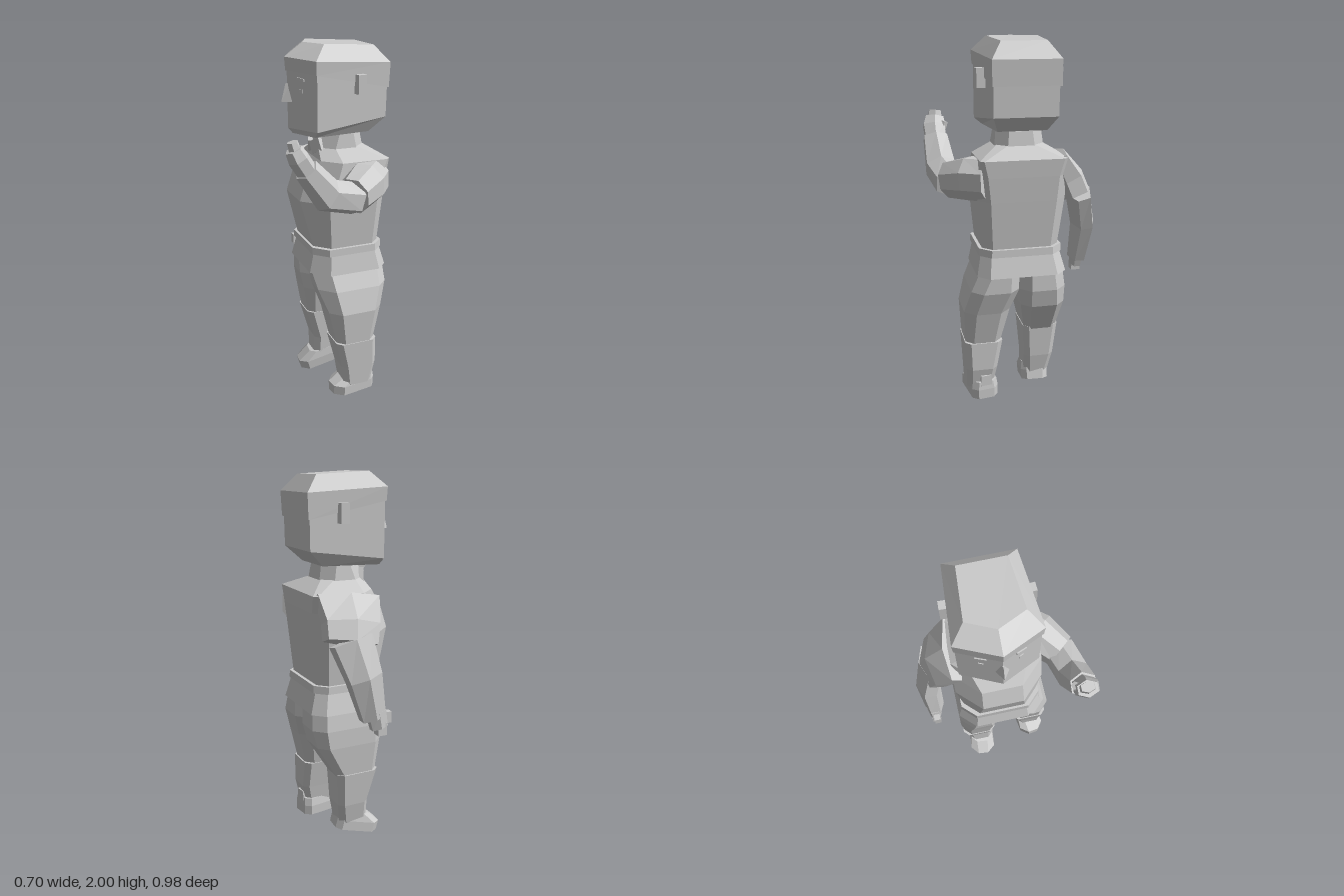
import * as THREE from 'three';

const grey = new THREE.MeshStandardMaterial({ color: 0xcccccc, flatShading: true });

// Skin closed rings (listed bottom to top, each counterclockwise from above) and cap both ends.
function loft(name, rings) {
  const pos = [];
  const tri = (...p) => p.forEach(v => pos.push(...v));
  const n = rings[0].length;
  for (let r = 0; r < rings.length - 1; r++) {
    for (let i = 0; i < n; i++) {
      const j = (i + 1) % n, a = rings[r], b = rings[r + 1];
      tri(a[i], a[j], b[j]);
      tri(a[i], b[j], b[i]);
    }
  }
  const lo = rings[0], hi = rings[rings.length - 1];
  for (let i = 1; i < n - 1; i++) {
    tri(lo[0], lo[i + 1], lo[i]);
    tri(hi[0], hi[i], hi[i + 1]);
  }
  const g = new THREE.BufferGeometry();
  g.setAttribute('position', new THREE.Float32BufferAttribute(pos, 3));
  g.computeVertexNormals();
  const m = new THREE.Mesh(g, grey);
  m.name = name;
  return m;
}

// Chamfered rectangle at height y; cf and cb cut the front and back corners.
function oct(y, x0, x1, z0, z1, cf = 0.03, cb = 0.03) {
  return [[x1 - cf, y, z1], [x1, y, z1 - cf], [x1, y, z0 + cb], [x1 - cb, y, z0],
    [x0 + cb, y, z0], [x0, y, z0 + cb], [x0, y, z1 - cf], [x0 + cf, y, z1]];
}

// Limb along points [x, y, z, ru, rv]; rv is the radius along the hint direction.
function limb(name, pts, hint, n = 6) {
  const h = new THREE.Vector3(...hint);
  const c = pts.map(p => new THREE.Vector3(p[0], p[1], p[2]));
  const rings = pts.map((p, k) => {
    const t = c[Math.min(k + 1, c.length - 1)].clone().sub(c[Math.max(k - 1, 0)]).normalize();
    const v = h.clone().addScaledVector(t, -h.dot(t)).normalize();
    const u = t.clone().cross(v);
    return Array.from({ length: n }, (_, i) => {
      const a = (i + 0.5) / n * Math.PI * 2, f = 1 / Math.cos(Math.PI / n);
      return c[k].clone().addScaledVector(u, Math.sin(a) * p[3] * f)
        .addScaledVector(v, Math.cos(a) * p[4] * f).toArray();
    });
  });
  return loft(name, rings);
}

function box(name, w, h, d, x, y, z, ry = 0, rz = 0) {
  const m = new THREE.Mesh(new THREE.BoxGeometry(w, h, d), grey);
  m.position.set(x, y, z);
  m.rotation.set(0, ry, rz);
  m.name = name;
  return m;
}

// Head plan: pentagon with a ridge at the front. Heights for front, front corners, back.
function headRing(k, yf, ys, yb, dz = 0) {
  const p = [[0, yf, 0.26], [0.205, ys, 0.165], [0.175, yb, -0.25], [-0.175, yb, -0.25], [-0.205, ys, 0.165]];
  return p.map(([x, y, z]) => [x * k, y, z * k + dz]);
}

function makeHead() {
  const head = new THREE.Group();
  head.name = 'head';
  head.add(loft('face', [headRing(0.75, 1.53, 1.53, 1.535, 0.03), headRing(0.96, 1.56, 1.565, 1.615),
    headRing(0.97, 1.87, 1.87, 1.82)]));
  head.add(loft('cap', [headRing(1.0, 1.86, 1.855, 1.77), headRing(1.02, 1.93, 1.925, 1.9),
    headRing(0.68, 2.0, 2.0, 1.985, -0.012)]));
  // nose: tapering wedge on the front ridge
  head.add(loft('nose', [
    [[0, 1.7, 0.285], [0.04, 1.7, 0.225], [-0.04, 1.7, 0.225]],
    [[0, 1.795, 0.26], [0.012, 1.795, 0.235], [-0.012, 1.795, 0.235]]]));
  for (const s of [-1, 1]) {
    head.add(box('ear', 0.05, 0.1, 0.045, s * 0.203, 1.8, -0.075, s * 0.05));
    head.add(box('eye', 0.025, 0.02, 0.012, s * 0.092, 1.765, 0.207, s * 0.43));
    head.add(box('eyebrow', 0.055, 0.013, 0.014, s * 0.092, 1.825, 0.208, s * 0.43, -s * 0.12));
  }
  head.position.set(-0.06, 0, -0.07);
  return head;
}

// Leg from thigh sections [y, x0, x1, z0, z1, cf, cb], boot sections and a pitched shoe.
function makeLeg(side, { thigh, boot, at, pitch, yaw }) {
  const leg = new THREE.Group();
  leg.name = side + 'Leg';
  leg.add(loft('thigh', thigh.map(r => oct(...r))));
  leg.add(loft('boot', boot.map(r => oct(...r))));
  const shoe = new THREE.Group();
  shoe.name = 'foot';
  shoe.add(loft('shoe', [oct(0, -0.075, 0.075, -0.12, 0.14, 0.045),
    oct(0.055, -0.077, 0.077, -0.12, 0.14, 0.045),
    oct(0.1, -0.07, 0.07, -0.115, 0.06, 0.035)]));
  shoe.add(box('heelTab', 0.06, 0.06, 0.025, 0, 0.11, -0.108));
  shoe.position.set(...at);
  shoe.rotation.set(pitch, yaw, 0);
  leg.add(shoe);
  return leg;
}

export function createModel() {
  const body = new THREE.Group();
  body.name = 'figure';
  body.add(makeHead());

  // Jacket, belt and hem
  body.add(loft('jacket', [
    oct(0.9, -0.255, 0.155, -0.275, 0.09, 0.075, 0.05),
    oct(1.18, -0.29, 0.18, -0.3, 0.16, 0.125, 0.06),
    oct(1.31, -0.29, 0.185, -0.31, 0.12, 0.13, 0.05),
    oct(1.4, -0.285, 0.175, -0.315, 0.05, 0.09, 0.02),
    oct(1.46, -0.18, 0.06, -0.21, 0.03, 0.07, 0.05)]));
  body.add(loft('hem', [
    oct(0.77, -0.298, 0.188, -0.32, 0.122, 0.09, 0.06),
    oct(0.89, -0.265, 0.165, -0.285, 0.095, 0.075, 0.05)]));
  body.add(loft('belt', [
    oct(0.88, -0.276, 0.176, -0.298, 0.108, 0.075, 0.06),
    oct(0.92, -0.274, 0.174, -0.295, 0.108, 0.075, 0.06)]));
  body.add(loft('neck', [
    oct(1.4, -0.14, 0.02, -0.15, 0.01),
    oct(1.56, -0.14, 0.02, -0.15, 0.01)]));
  body.add(loft('collar', [
    oct(1.44, -0.19, 0.075, -0.22, 0.045, 0.08, 0.06),
    oct(1.53, -0.18, 0.065, -0.205, 0.015, 0.08, 0.06)]));
  for (const s of [-1, 1]) body.add(box('collarFlap', 0.075, 0.07, 0.025, -0.06 + s * 0.045, 1.46, 0.035, s * 0.45, s * 0.4));

  // Right arm hangs at the side
  const rightArm = new THREE.Group();
  rightArm.name = 'rightArm';
  rightArm.add(limb('upperArm', [[-0.37, 1.17, -0.16, 0.075, 0.135], [-0.335, 1.26, -0.14, 0.075, 0.145],
    [-0.262, 1.385, -0.125, 0.05, 0.17]], [0, 0, 1]));
  rightArm.add(limb('forearm', [[-0.425, 0.78, -0.06, 0.047, 0.065], [-0.432, 1.0, -0.115, 0.058, 0.09],
    [-0.385, 1.19, -0.165, 0.06, 0.11]], [0, 0, 1]));
  rightArm.add(limb('hand', [[-0.43, 0.72, -0.025, 0.03, 0.045], [-0.43, 0.81, -0.045, 0.038, 0.05]], [0, 0, 1]));
  rightArm.add(box('fingers', 0.05, 0.07, 0.05, -0.43, 0.715, -0.015));
  rightArm.add(box('thumb', 0.035, 0.06, 0.035, -0.425, 0.77, 0.025));
  body.add(rightArm);

  // Left arm bends forward with the hand raised
  const leftArm = new THREE.Group();
  leftArm.name = 'leftArm';
  leftArm.add(limb('upperArm', [[0.11, 1.29, -0.23, 0.1, 0.11], [0.2, 1.285, -0.155, 0.105, 0.11],
    [0.295, 1.258, -0.045, 0.085, 0.094]], [0, 1, 0], 8));
  leftArm.add(limb('forearm', [[0.29, 1.245, -0.06, 0.075, 0.08], [0.325, 1.292, 0.11, 0.078, 0.077],
    [0.335, 1.44, 0.225, 0.056, 0.064]], [1, 0, 0]));
  leftArm.add(limb('hand', [[0.335, 1.43, 0.22, 0.047, 0.054], [0.335, 1.5, 0.265, 0.047, 0.06],
    [0.33, 1.545, 0.287, 0.038, 0.049]], [1, 0, 0]));
  leftArm.add(limb('fingers', [[0.33, 1.53, 0.277, 0.027, 0.04], [0.325, 1.582, 0.29, 0.024, 0.032]], [1, 0, 0]));
  leftArm.add(limb('thumb', [[0.3, 1.47, 0.25, 0.02, 0.02], [0.278, 1.525, 0.25, 0.017, 0.017]], [0, 0, 1], 5));
  body.add(leftArm);

  // Legs: the left one stands back, the right one steps forward
  body.add(makeLeg('left', {
    thigh: [[0.34, 0.05, 0.245, -0.22, 0, 0.04, 0.04], [0.55, 0, 0.255, -0.27, 0.045, 0.06, 0.06],
      [0.68, -0.045, 0.22, -0.31, 0.09, 0.08, 0.06], [0.78, -0.05, 0.175, -0.31, 0.11, 0.085, 0.06]],
    boot: [[0.08, 0.09, 0.24, -0.21, -0.04], [0.2, 0.07, 0.245, -0.235, -0.025], [0.36, 0.04, 0.25, -0.232, 0.01]],
    at: [0.155, 0.02, -0.116], pitch: 0, yaw: 0.15,
  }));
  body.add(makeLeg('right', {
    thigh: [[0.38, -0.28, -0.1, -0.17, 0.05, 0.035, 0.035], [0.58, -0.298, -0.055, -0.29, 0.085, 0.055, 0.05],
      [0.68, -0.298, -0.04, -0.315, 0.105, 0.075, 0.06], [0.78, -0.285, -0.04, -0.31, 0.11, 0.085, 0.06]],
    boot: [[0.1, -0.245, -0.105, -0.15, 0.015], [0.22, -0.27, -0.1, -0.17, 0.01], [0.41, -0.29, -0.09, -0.18, 0.06]],
    at: [-0.175, 0.037, -0.05], pitch: 0.26, yaw: -0.1,
  }));

  // The whole figure is turned toward its right
  body.rotation.y = -Math.PI / 4;
  const model = new THREE.Group();
  model.name = 'posedFigure';
  model.add(body);
  return model;
}
